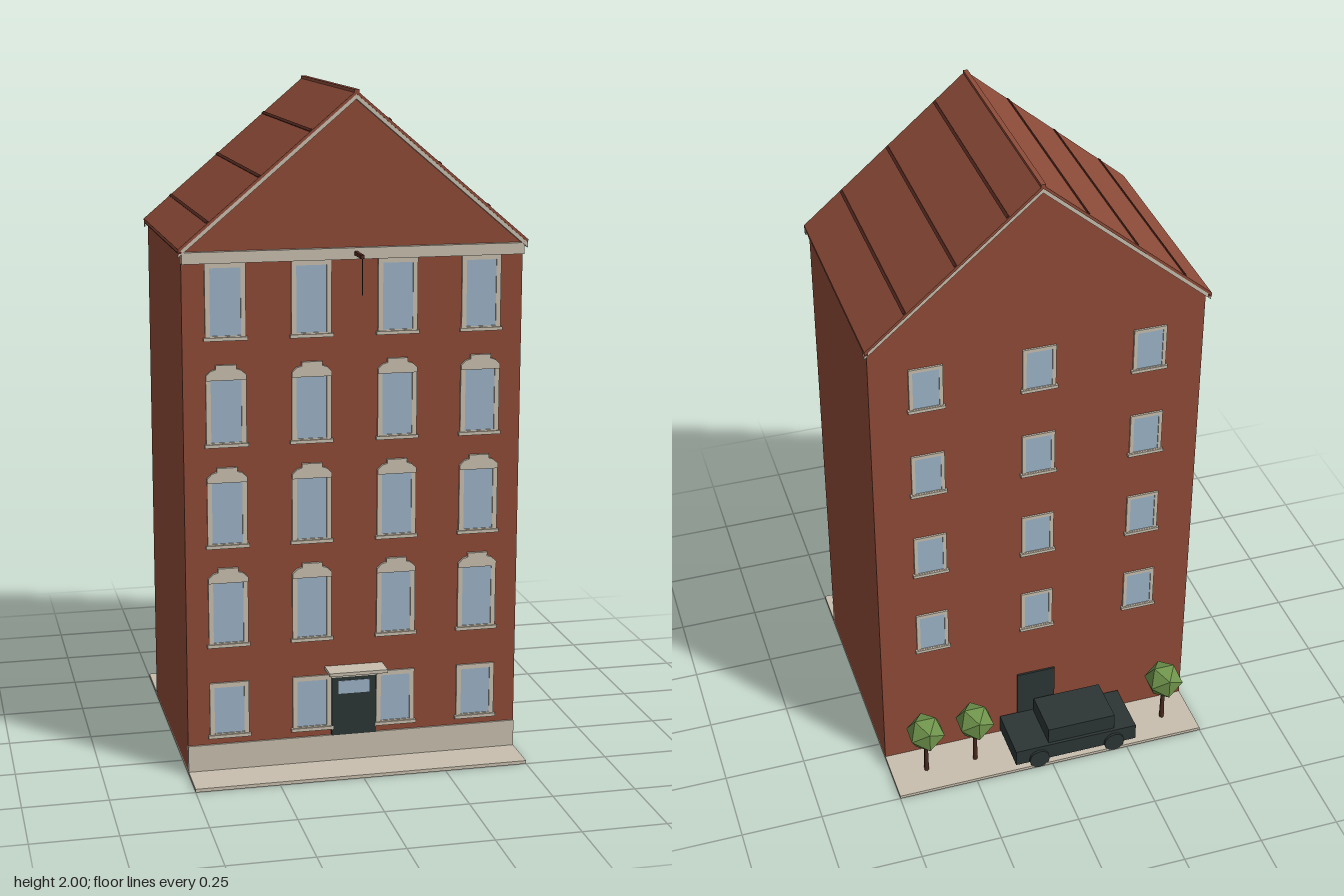
import * as THREE from 'three';

const mat = (name, color) => {
  const m = new THREE.MeshStandardMaterial({ color });
  m.name = name;
  return m;
};

export function createModel() {
  const root = new THREE.Group();
  root.name = 'townhouse';
  const brick = mat('brick', 0x8f4a37);
  const roofTile = mat('roof tile', 0x8f4c39);
  const stone = mat('pale stone', 0xc8bfae);
  const glass = mat('window glass', 0x9db4c8);
  const dark = mat('dark paint', 0x2c3535);
  const seam = mat('dark seam', 0x54291f);
  const bark = mat('bark', 0x4c2b1e);
  const leaf = mat('leaf', 0x6f934b);
  leaf.flatShading = true;

  const add = (name, geo, m, x = 0, y = 0, z = 0, parent = root) => {
    const mesh = new THREE.Mesh(geo, m);
    mesh.name = name;
    mesh.position.set(x, y, z);
    parent.add(mesh);
    return mesh;
  };
  // Box given by its limits on each axis
  const box = (name, m, x0, x1, y0, y1, z0, z1, parent = root) =>
    add(name, new THREE.BoxGeometry(x1 - x0, y1 - y0, z1 - z0), m,
      (x0 + x1) / 2, (y0 + y1) / 2, (z0 + z1) / 2, parent);
  const outline = pts => new THREE.Shape(pts.map(p => new THREE.Vector2(p[0], p[1])));
  const extrude = (shape, depth) => new THREE.ExtrudeGeometry(shape, { depth, bevelEnabled: false });

  const front = 0.365, back = -0.32;
  const ridge = 1.997, eave = 1.565, half = 0.51;
  const slope = (ridge - eave) / half;

  // Ground slab and walls with gables
  box('ground', stone, -0.5, 0.5, 0, 0.01, -0.5, 0.5);
  add('walls', extrude(outline([
    [-0.5, 0.004], [0.5, 0.004], [0.5, ridge - 0.5 * slope - 0.006],
    [0, ridge - 0.006], [-0.5, ridge - 0.5 * slope - 0.006],
  ]), front - back), brick, 0, 0, back);
  box('plinth', stone, -0.5, 0.5, 0.006, 0.09, front - 0.01, front + 0.006);
  box('cornice', stone, -0.5, 0.5, 1.522, 1.555, front - 0.01, front + 0.016);

  // Roof slopes, verge boards, gutters and seams
  const slab = (side, top, thick) => outline([
    [0, ridge - top], [side * half, eave - top],
    [side * half, eave - top - thick], [0, ridge - top - thick],
  ]);
  for (const side of [-1, 1]) {
    add('roofSlope', extrude(slab(side, 0, 0.01), 0.724), roofTile, 0, 0, -0.34);
    add('frontVerge', extrude(slab(side, 0.01, 0.014), 0.017), stone, 0, 0, front);
    add('backVerge', extrude(slab(side, 0.01, 0.014), 0.017), stone, 0, 0, back - 0.017);
    box('eaveStrip', seam, side * 0.504 - 0.005, side * 0.504 + 0.005, 1.552, 1.56, -0.338, 0.382);
  }
  for (const x of [-0.425, -0.277, -0.13, 0.098, 0.246, 0.392]) {
    const s = add('roofSeam', new THREE.BoxGeometry(0.009, 0.006, 0.715), seam,
      x, ridge - Math.abs(x) * slope, 0.022);
    s.rotation.z = -Math.sign(x) * Math.atan(slope);
  }
  box('ridgeCap', roofTile, -0.007, 0.007, 1.988, 2, -0.34, 0.385);

  // Window facing +z from z = 0, with its bottom at y = 0
  const addWindow = (w, h, rim, crowned) => {
    const g = new THREE.Group();
    g.name = 'window';
    const frame = outline([[-w / 2, 0], [w / 2, 0], [w / 2, h], [-w / 2, h]]);
    const top = crowned ? h - 0.012 : h - rim;
    frame.holes.push(new THREE.Path([
      [-w / 2 + rim, rim], [-w / 2 + rim, top], [w / 2 - rim, top], [w / 2 - rim, rim],
    ].map(p => new THREE.Vector2(p[0], p[1]))));
    add('frame', extrude(frame, 0.006), stone, 0, 0, 0, g);
    box('pane', glass, -w / 2 + rim / 2, w / 2 - rim / 2, rim / 2, h - rim / 2, -0.002, 0.003, g);
    box('sill', stone, -w / 2 - 0.005, w / 2 + 0.005, 0, 0.01, 0, 0.011, g);
    if (crowned) {
      add('crown', extrude(outline([
        [-w / 2, h - 0.014], [w / 2, h - 0.014], [w / 2, h], [0.044, h + 0.014], [0.03, h + 0.018],
        [0.03, h + 0.03], [-0.03, h + 0.03], [-0.03, h + 0.018], [-0.044, h + 0.014], [-w / 2, h],
      ]), 0.01), stone, 0, 0, 0, g);
    }
    root.add(g);
    return g;
  };

  // Front windows: bottom, height, crowned
  const rows = [[0.11, 0.17, false], [0.39, 0.21, true], [0.69, 0.21, true], [0.99, 0.21, true], [1.3, 0.222, false]];
  for (const [y, h, crowned] of rows) {
    for (const x of [-0.376, -0.127, 0.127, 0.376]) {
      addWindow(0.117, h, 0.014, crowned).position.set(x, y, front);
    }
  }
  // Back windows
  for (const y of [0.425, 0.725, 1.025, 1.325]) {
    for (const x of [-0.335, 0, 0.335]) {
      const w = addWindow(0.1, 0.145, 0.011, false);
      w.position.set(x, y, back);
      w.rotation.y = Math.PI;
    }
  }

  // Front door with transom light and canopy, and back door
  box('frontDoor', dark, -0.068, 0.066, 0.09, 0.272, front - 0.005, front + 0.009);
  box('doorLight', glass, -0.048, 0.046, 0.22, 0.26, front + 0.005, front + 0.011);
  box('doorLintel', stone, -0.07, 0.07, 0.272, 0.296, front - 0.005, front + 0.012);
  box('doorCanopy', stone, -0.088, 0.088, 0.296, 0.306, front - 0.005, 0.434);
  box('backDoor', dark, -0.062, 0.062, 0.01, 0.24, back - 0.006, back + 0.005);

  // Hoist beam and rope
  box('hoistBeam', seam, -0.005, 0.005, 1.534, 1.545, front, 0.462);
  box('hoistRope', dark, -0.001, 0.001, 1.43, 1.535, 0.458, 0.46);

  // Parked car
  const car = new THREE.Group();
  car.name = 'car';
  root.add(car);
  box('carBody', dark, -0.28, 0.12, 0.025, 0.08, -0.495, -0.325, car);
  box('carCabin', dark, -0.21, 0.01, 0.08, 0.135, -0.485, -0.335, car);
  for (const x of [-0.206, 0.044]) {
    for (const z of [-0.488, -0.338]) {
      add('wheel', new THREE.CylinderGeometry(0.033, 0.033, 0.03, 12), dark, x, 0.035, z, car).rotation.x = Math.PI / 2;
    }
  }

  // Trees
  for (const x of [-0.402, 0.23, 0.39]) {
    add('treeTrunk', new THREE.CylinderGeometry(0.006, 0.008, 0.12, 6), bark, x, 0.065, -0.412);
    add('treeCrown', new THREE.IcosahedronGeometry(0.062, 0), leaf, x, 0.171, -0.412);
  }
  return root;
}
